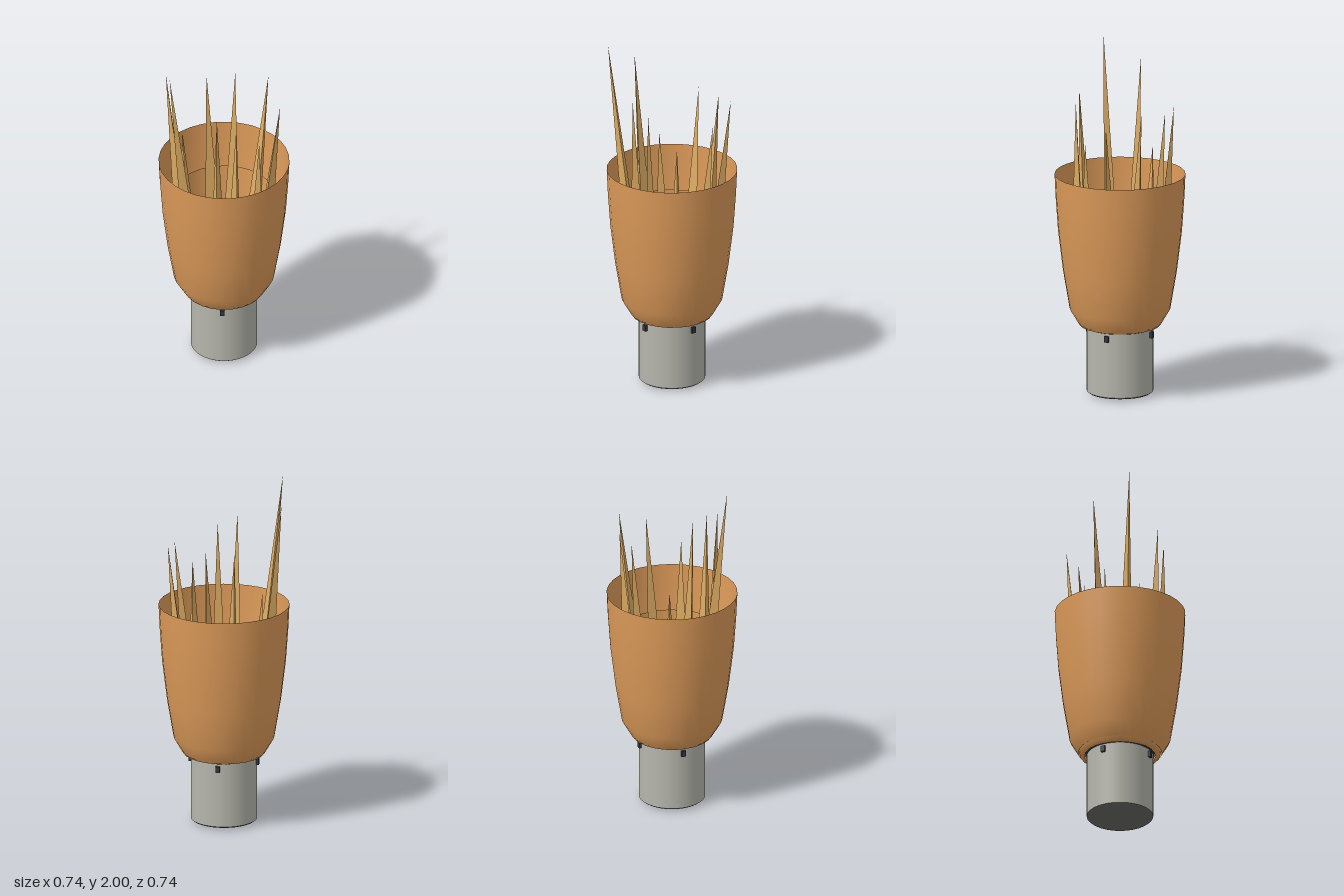
import * as THREE from 'three';

export function createModel() {
  const root = new THREE.Group();
  const mat = (name, color, double) => {
    const m = new THREE.MeshStandardMaterial({ color });
    m.name = name;
    if (double) m.side = THREE.DoubleSide;
    return m;
  };
  const M = {
    plasma: mat('plasmaOrange', 0xdc9a59, true),
    shard: mat('flameTan', 0xdcab62),
    hull: mat('hullGrey', 0xb6b5ac),
    dark: mat('charcoal', 0x33363a),
    base: mat('baseGrey', 0x6a6a68),
    nose: mat('noseSlate', 0x48545a),
    pale: mat('paleGrey', 0xdedede),
  };
  const add = (name, geo, material, parent = root) => {
    const m = new THREE.Mesh(geo, material);
    m.name = name;
    parent.add(m);
    return m;
  };
  const lathe = (pts, seg) =>
    new THREE.LatheGeometry(pts.map(([r, y]) => new THREE.Vector2(r, y)), seg);

  // Glowing shells, open at top and bottom
  add('outerGlow', lathe([[0.235, 0.415], [0.285, 0.5], [0.322, 0.72],
    [0.35, 0.95], [0.364, 1.15], [0.37, 1.285]], 32), M.plasma);
  add('innerGlow', lathe([[0.2, 0.395], [0.228, 0.405], [0.243, 0.47],
    [0.263, 0.66], [0.277, 0.86], [0.287, 1.04]], 24), M.plasma);

  // Trunk and its shallow rounded base
  const trunk = add('trunk', new THREE.CylinderGeometry(0.188, 0.188, 0.385, 48, 1, true), M.hull);
  trunk.position.y = 0.2125;
  add('trunkBase', lathe([[0, 0], [0.1, 0.003], [0.178, 0.012], [0.188, 0.02]], 48), M.base);

  // Capsule: shield ring, stepped cone, docking collar, nose
  add('shieldRing', lathe([[0.188, 0.395], [0.195, 0.4], [0.195, 0.415], [0.188, 0.42]], 48), M.dark);
  const profile = [[0.19, 0.42], [0.145, 0.51], [0.055, 0.63]];
  add('capsuleCone', lathe(profile, 48), M.hull);
  add('dockingCollar', lathe([[0.055, 0.63], [0.052, 0.642], [0.042, 0.645]], 32), M.hull);
  const nose = add('noseBall', new THREE.SphereGeometry(0.043, 32, 16), M.nose);
  nose.position.y = 0.645;

  // Group on the cone surface, with local z pointing out of the hull
  const onCone = (name, x, z) => {
    const r = Math.hypot(x, z);
    const i = r > 0.145 ? 0 : 1;
    const [[r0, y0], [r1, y1]] = [profile[i], profile[i + 1]];
    const g = new THREE.Group();
    g.name = name;
    g.position.set(x, y0 + (y1 - y0) * (r0 - r) / (r0 - r1), z);
    g.rotation.order = 'YXZ';
    g.rotation.y = Math.atan2(x, z);
    g.rotation.x = -Math.atan2(r0 - r1, y1 - y0);
    root.add(g);
    return g;
  };

  // Hatch with raised frame
  const hatch = onCone('hatch', 0, 0.128);
  add('hatchPanel', new THREE.BoxGeometry(0.072, 0.05, 0.008), M.hull, hatch);
  for (const s of [-1, 1]) {
    add('hatchFrameSide', new THREE.BoxGeometry(0.004, 0.056, 0.014), M.hull, hatch).position.x = s * 0.037;
    add('hatchFrameBar', new THREE.BoxGeometry(0.078, 0.004, 0.014), M.hull, hatch).position.y = s * 0.026;
  }

  // Round windows
  for (const [x, z] of [[0, 0.128], [0.125, -0.005], [-0.125, -0.005], [0.047, 0.07], [-0.047, 0.07]]) {
    const r = Math.hypot(x, z) > 0.1 ? 0.012 : 0.009;
    const w = onCone('window', x, z);
    add('windowRim', new THREE.TorusGeometry(r, 0.003, 8, 24), M.dark, w).position.z = 0.004;
    const glass = add('windowGlass', new THREE.CylinderGeometry(r, r, 0.008, 24), M.nose, w);
    glass.rotation.x = Math.PI / 2;
    glass.position.z = 0.002;
  }

  // Pale rear blocks and small sensors
  for (const x of [-0.105, 0, 0.105])
    add('rearBlock', new THREE.BoxGeometry(0.024, 0.024, 0.012), M.pale, onCone('rearFitting', x, -0.128));
  for (const x of [-0.053, 0.053])
    add('sensorDot', new THREE.BoxGeometry(0.006, 0.006, 0.006), M.dark, onCone('sensor', x, -0.053));

  // Four trunk latches on the diagonals
  for (let i = 0; i < 4; i++) {
    const a = Math.PI / 4 + i * Math.PI / 2;
    const latch = add('latch', new THREE.BoxGeometry(0.024, 0.035, 0.024), M.dark);
    latch.position.set(Math.sin(a) * 0.19, 0.362, Math.cos(a) * 0.19);
    latch.rotation.y = a;
  }

  // Flame shards: three-sided spikes [base x, base z, tip x, tip y, tip z]
  const R = 0.049, baseY = 0.75;
  const shards = [
    [-0.2, -0.028, -0.37, 2.0, -0.05], [-0.148, -0.138, -0.24, 1.885, -0.225],
    [-0.075, -0.188, -0.1, 1.4, -0.24], [0.08, -0.185, 0.12, 1.68, -0.28],
    [0.165, -0.12, 0.245, 1.68, -0.175], [0.2, 0.002, 0.335, 1.715, 0.005],
    [0.161, 0.12, 0.255, 1.63, 0.19], [0.044, 0.196, 0.055, 1.495, 0.235],
    [-0.09, 0.181, -0.11, 1.69, 0.225], [-0.157, 0.124, -0.205, 1.75, 0.165],
  ];
  for (const [bx, bz, tx, ty, tz] of shards) {
    const a = Math.atan2(bx, bz);
    const h = ty - baseY;
    const cx = bx + Math.sin(a) * R / 2, cz = bz + Math.cos(a) * R / 2;
    let g = new THREE.ConeGeometry(R, h, 3);
    g.rotateY(a);
    g.translate(0, h / 2, 0);
    // lean the spike so its point reaches the tip
    const p = g.attributes.position;
    for (let i = 0; i < p.count; i++) {
      const k = p.getY(i) / h;
      p.setX(i, p.getX(i) + k * (tx - cx));
      p.setZ(i, p.getZ(i) + k * (tz - cz));
    }
    g = g.toNonIndexed();
    g.computeVertexNormals();
    add('flameShard', g, M.shard).position.set(cx, baseY, cz);
  }
  return root;
}
